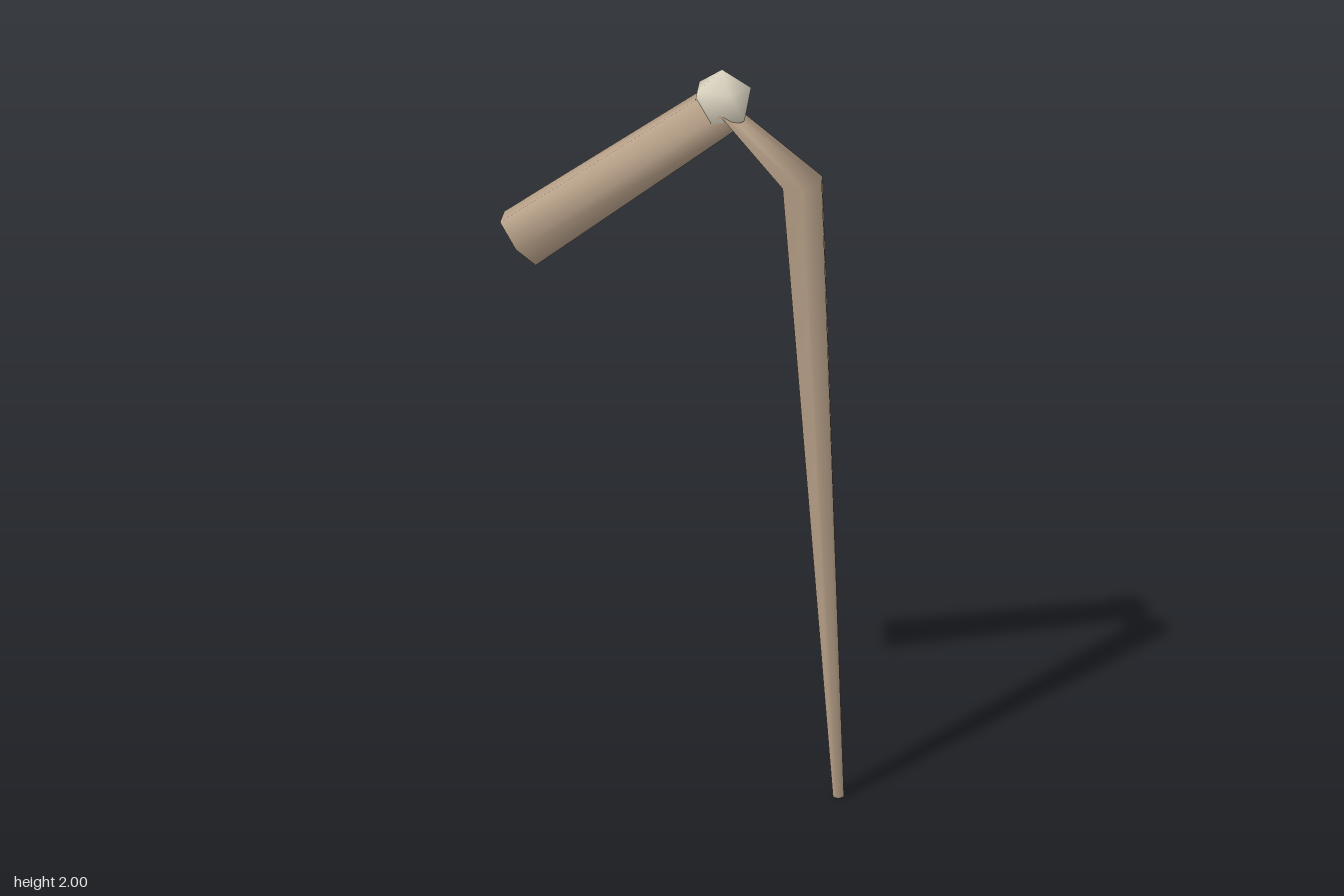
import * as THREE from 'three';

const SIDES = 6;

// One hexagonal ring; "tilt" is the direction (in the xy plane) of the outer side of the bend
function ringPoints({ x, y, r, tilt }) {
  const [ox, oy] = [Math.cos(tilt), Math.sin(tilt)];
  return Array.from({ length: SIDES }, (_, k) => {
    const a = (k / SIDES) * Math.PI * 2;
    const s = Math.sin(a) * r;
    return [x + s * ox, y + s * oy, Math.cos(a) * r];
  });
}

function toGeometry(points, index) {
  const g = new THREE.BufferGeometry();
  g.setAttribute('position', new THREE.Float32BufferAttribute(points.flat(), 3));
  g.setIndex(index);
  g.computeVertexNormals();
  return g;
}

// Smooth skin running through all rings
function skin(rings) {
  const index = [];
  for (let i = 0; i < rings.length - 1; i++) {
    for (let k = 0; k < SIDES; k++) {
      const a = i * SIDES + k, b = i * SIDES + (k + 1) % SIDES;
      index.push(a, a + SIDES, b, b, a + SIDES, b + SIDES);
    }
  }
  return toGeometry(rings.flatMap(ringPoints), index);
}

// Flat end cap
function cap(ring, flip) {
  const index = [];
  for (let k = 1; k < SIDES - 1; k++) index.push(0, flip ? k + 1 : k, flip ? k : k + 1);
  return toGeometry(ringPoints(ring), index);
}

export function createModel() {
  const group = new THREE.Group();
  const limbMaterial = new THREE.MeshStandardMaterial({ color: 0xb8a189 });
  const jointMaterial = new THREE.MeshStandardMaterial({ color: 0xdcd5c2 });
  const add = (name, geometry, material) => {
    const mesh = new THREE.Mesh(geometry, material);
    mesh.name = name;
    group.add(mesh);
    return mesh;
  };

  // Bent limb: thick root, top joint, lower bend, thin tip
  const rings = [
    { x: -0.398, y: 1.562, r: 0.08, tilt: 2.23 },
    { x: 0.095, y: 1.905, r: 0.065, tilt: 2.18 },
    { x: 0.291, y: 1.723, r: 0.055, tilt: 0.16 },
    { x: 0.42, y: 0.001, r: 0.017, tilt: 0.07 },
  ];
  add('limb', skin(rings), limbMaterial);
  add('rootCap', cap(rings[0], false), limbMaterial);
  add('tipCap', cap(rings[rings.length - 1], true), limbMaterial);

  // Joint ball: smooth-shaded icosahedron with one corner pointing up
  const ball = new THREE.IcosahedronGeometry(0.078, 0);
  const normals = ball.attributes.position.clone();
  ball.setAttribute('normal', normals);
  ball.normalizeNormals();
  ball.rotateZ(-Math.atan(2 / (1 + Math.sqrt(5))));
  add('jointBall', ball, jointMaterial).position.set(0.095, 1.922, 0);

  return group;
}
